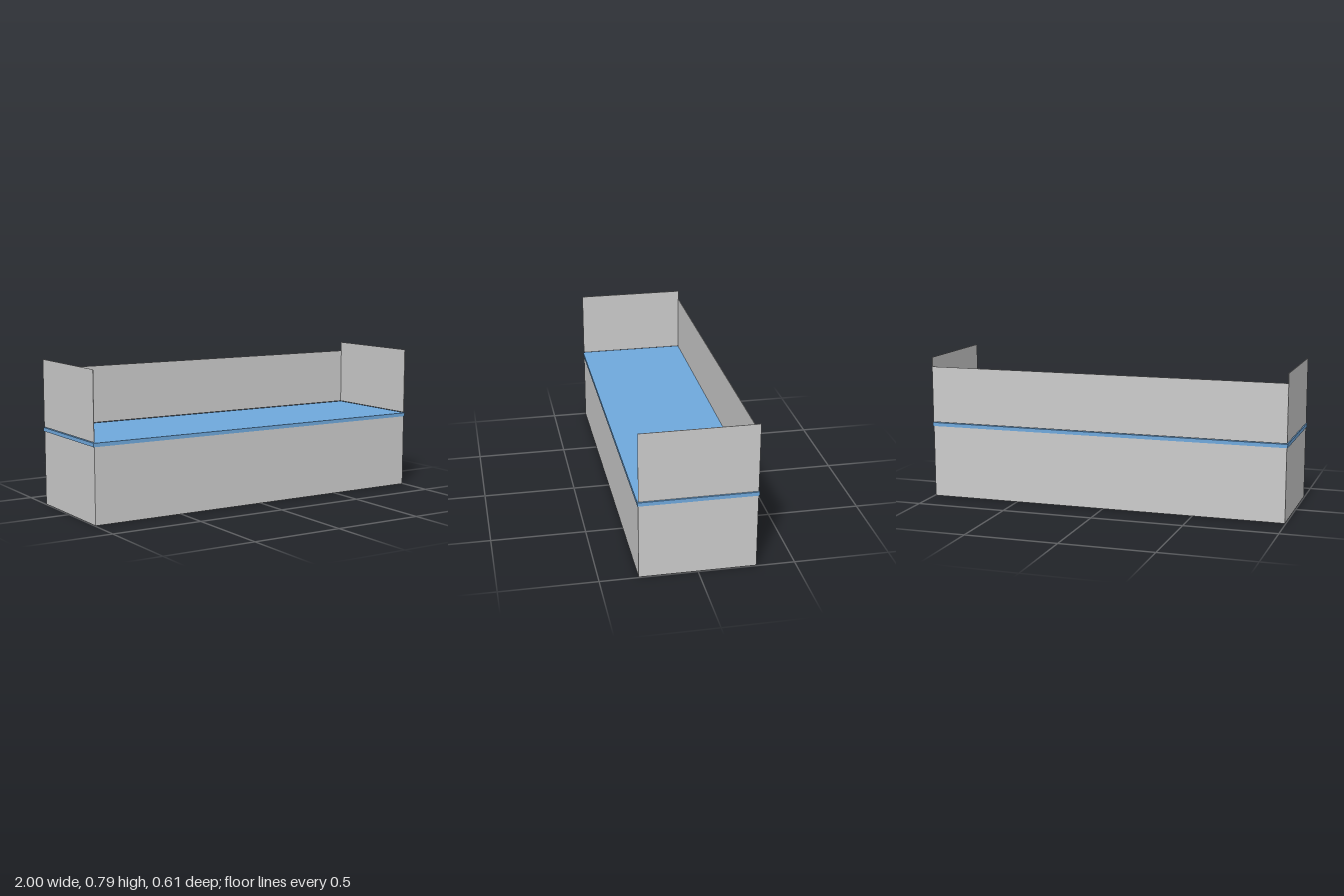
import * as THREE from 'three';

export function createModel() {
  const group = new THREE.Group();
  const grey = new THREE.MeshStandardMaterial({ color: 0xcccccc });
  const blue = new THREE.MeshStandardMaterial({ color: 0x6fa8dc });

  // Box placed by its centre in x and z and by its lower and upper heights
  const addBox = (name, width, depth, bottom, top, x, z, material) => {
    const mesh = new THREE.Mesh(new THREE.BoxGeometry(width, top - bottom, depth), material);
    mesh.position.set(x, (bottom + top) / 2, z);
    mesh.name = name;
    group.add(mesh);
  };

  const thin = 0.003;

  // Solid base with a slightly overhanging top slab
  addBox('base', 1.99, 0.602, 0, 0.4, 0, 0, grey);
  addBox('counterTop', 2, 0.61, 0.4, 0.42, 0, 0, blue);

  // Thin upright panels, just clear of the slab
  addBox('backPanel', 1.99, thin, 0.423, 0.735, 0, -0.3, grey);
  for (const side of [-1, 1]) {
    addBox(side > 0 ? 'leftPanel' : 'rightPanel', thin, 0.602, 0.423, 0.787, side * 0.995, 0, grey);
  }

  return group;
}
